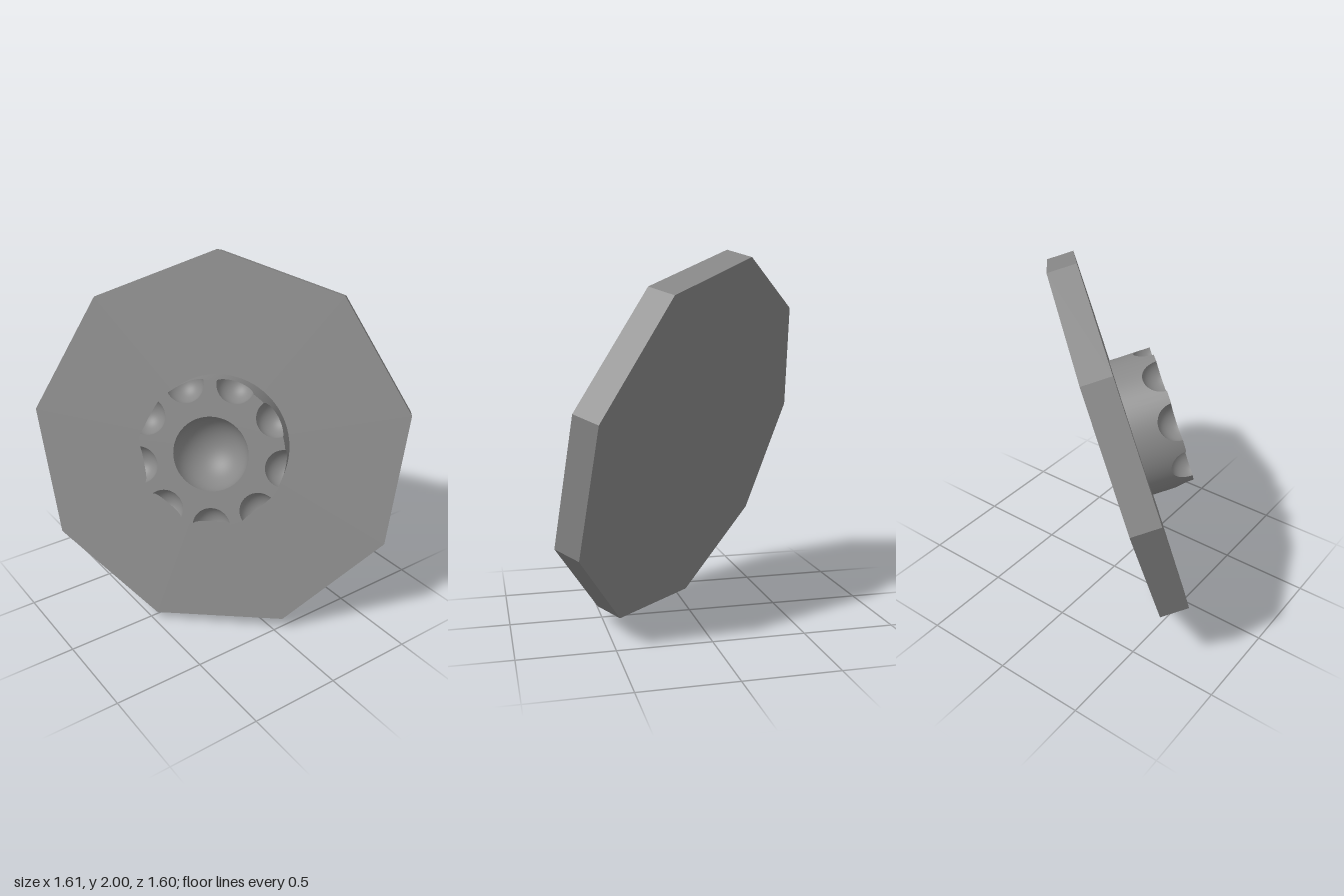
import * as THREE from 'three';

const R = 1.042, T = 0.154;          // plate radius and thickness
const HR = 0.388, H = 0.235;         // hub radius and height
const S = 0.1, BOWL = 0.198;         // rim notch and centre bowl radii
const COUNT = 9, STEP = Math.PI * 2 / COUNT, FIRST = -Math.PI / 18;
const HALF = 2 * Math.asin(S / (2 * HR)); // half angle of a notch on the rim

// Surface from a rule fn(i, j) => [position, normal]
function grid(nu, nv, fn) {
  const pos = [], nor = [], idx = [];
  for (let j = 0; j <= nv; j++) {
    for (let i = 0; i <= nu; i++) {
      const [p, n] = fn(i, j);
      pos.push(...p);
      nor.push(...n);
      if (i < nu && j < nv) {
        const a = j * (nu + 1) + i, b = a + 1, c = a + nu + 1, d = c + 1;
        idx.push(a, b, d, a, d, c);
      }
    }
  }
  const g = new THREE.BufferGeometry();
  g.setAttribute('position', new THREE.Float32BufferAttribute(pos, 3));
  g.setAttribute('normal', new THREE.Float32BufferAttribute(nor, 3));
  g.setIndex(idx);
  return g;
}

// Point of the spherical notch centred on the rim at angle a
function notchPoint(a, u, phi) {
  const rho = S * Math.sin(phi);
  const al = u * Math.acos(rho / (2 * HR));
  const r = -rho * Math.cos(al), t = rho * Math.sin(al), z = -S * Math.cos(phi);
  const c = Math.cos(a), s = Math.sin(a);
  const d = [r * c - t * s, r * s + t * c, z];
  return [[HR * c + d[0], HR * s + d[1], H + z], d.map(v => -v / S)];
}

export function createModel() {
  const model = new THREE.Group();
  const grey = new THREE.MeshStandardMaterial({ color: 0x888888 });
  grey.name = 'grey';

  const body = new THREE.Group();
  body.name = 'tiltedDisc';
  model.add(body);
  const add = (name, geometry, parent = body) => {
    const m = new THREE.Mesh(geometry, grey);
    m.name = name;
    parent.add(m);
  };

  // Nine-sided plate, its front face on local z = 0
  const plate = new THREE.CylinderGeometry(R, R, T, COUNT)
    .rotateX(Math.PI / 2).rotateZ(Math.PI).translate(0, 0, -T / 2).toNonIndexed();
  plate.computeVertexNormals();
  add('plate', plate);

  const hub = new THREE.Group();
  hub.name = 'hub';
  body.add(hub);

  // Hub wall, its upper edge dipping at every notch
  const offsets = [-STEP / 2];
  for (let i = 0; i <= 20; i++) offsets.push(HALF * Math.sin((i / 20 - 0.5) * Math.PI));
  const angles = [];
  for (let k = 0; k < COUNT; k++) for (const o of offsets) angles.push([FIRST + k * STEP + o, o]);
  angles.push([FIRST + (COUNT - 0.5) * STEP, STEP / 2]);
  add('hubWall', grid(angles.length - 1, 1, (i, j) => {
    const [a, o] = angles[i];
    const dip = Math.sqrt(Math.max(0, S * S - (2 * HR * Math.sin(o / 2)) ** 2));
    const c = Math.cos(a), s = Math.sin(a);
    return [[HR * c, HR * s, j ? H - dip : 0], [c, s, 0]];
  }), hub);

  // Scooped notches and the scalloped outline of the hub face
  const outline = [];
  for (let k = 0; k < COUNT; k++) {
    const a = FIRST + k * STEP;
    add('rimNotch', grid(24, 12, (i, j) =>
      notchPoint(a, i / 12 - 1, j / 12 * Math.PI / 2)), hub);
    for (let i = 0; i <= 24; i++) {
      const [p] = notchPoint(a, i / 12 - 1, Math.PI / 2);
      outline.push(new THREE.Vector2(p[0], p[1]));
    }
    const mid = a + STEP / 2;
    outline.push(new THREE.Vector2(HR * Math.cos(mid), HR * Math.sin(mid)));
  }
  const face = new THREE.Shape(outline);
  const hole = [];
  for (let i = 0; i < 48; i++) {
    const a = -i / 24 * Math.PI;
    hole.push(new THREE.Vector2(BOWL * Math.cos(a), BOWL * Math.sin(a)));
  }
  face.holes.push(new THREE.Path(hole));
  add('hubFace', new THREE.ShapeGeometry(face).translate(0, 0, H), hub);

  // Hemispherical bowl in the centre of the hub
  add('centreBowl', grid(48, 16, (i, j) => {
    const a = -i / 24 * Math.PI, phi = j / 32 * Math.PI;
    const d = [Math.sin(phi) * Math.cos(a), Math.sin(phi) * Math.sin(a), -Math.cos(phi)];
    return [[BOWL * d[0], BOWL * d[1], H + BOWL * d[2]], d.map(v => -v)];
  }), hub);

  // Lean the whole disc back and to the side
  const n = new THREE.Vector3(-0.673, 0.2726, 0.6877).normalize();
  const side = new THREE.Vector3(0.155, 0.96, -0.2316).cross(n).normalize();
  const up = n.clone().cross(side);
  body.quaternion.setFromRotationMatrix(new THREE.Matrix4().makeBasis(side, up, n));
  body.position.set(-0.071, 1.0, 0.056);
  return model;
}
